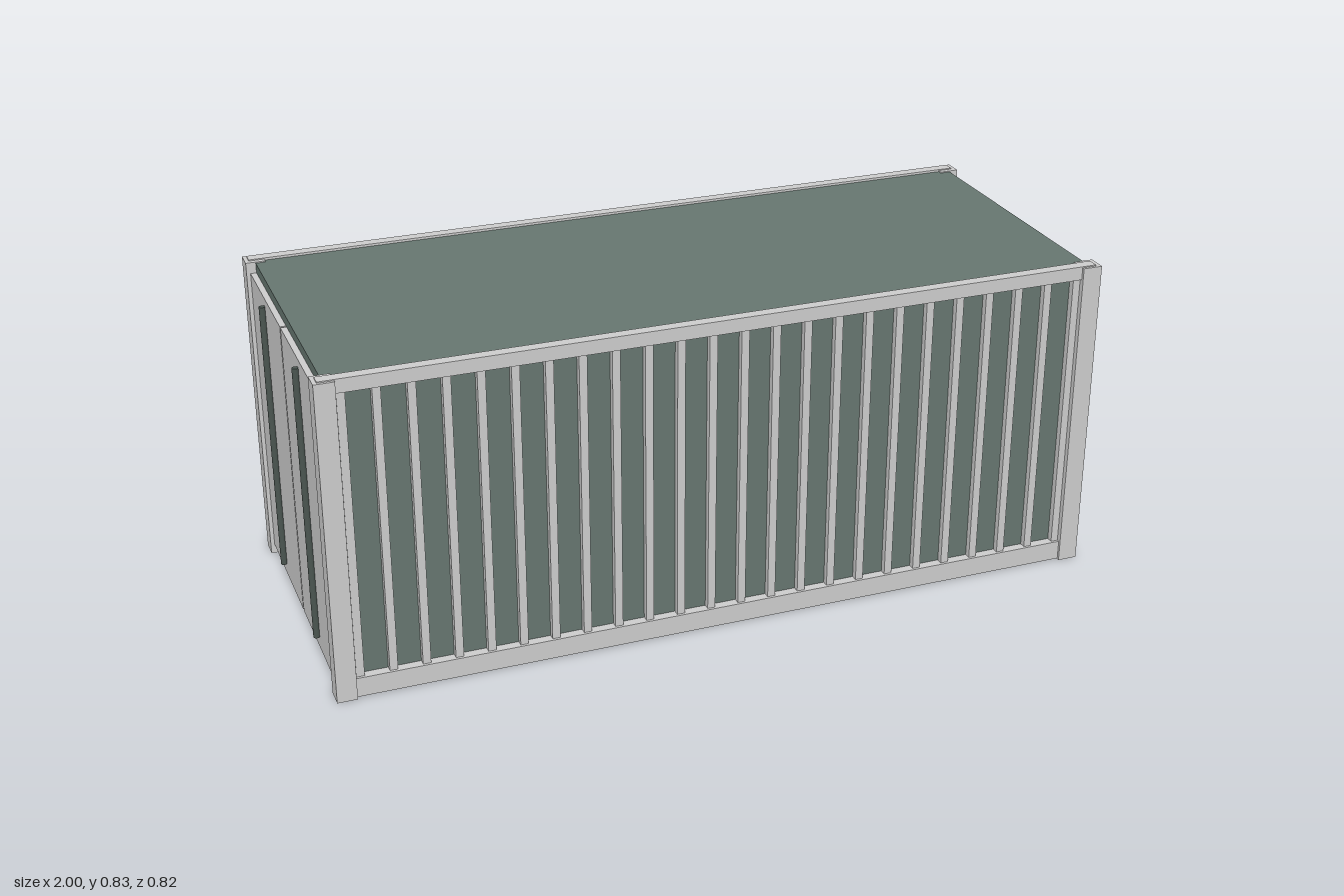
import * as THREE from 'three';

export function createModel() {
  const root = new THREE.Group();
  root.name = 'shippingContainer';
  const grey = new THREE.MeshStandardMaterial({ color: 0xcccccc });
  const green = new THREE.MeshStandardMaterial({ color: 0x65756f });
  const dark = new THREE.MeshStandardMaterial({ color: 0x4a5550 });

  // Box given by its extents along each axis
  function box(name, mat, [x0, x1], [y0, y1], [z0, z1], parent = root) {
    const mesh = new THREE.Mesh(new THREE.BoxGeometry(x1 - x0, y1 - y0, z1 - z0), mat);
    mesh.position.set((x0 + x1) / 2, (y0 + y1) / 2, (z0 + z1) / 2);
    mesh.name = name;
    parent.add(mesh);
    return mesh;
  }

  // Closed cargo body
  box('body', green, [-0.97, 0.975], [0.005, 0.826], [-0.381, 0.381]);

  for (const s of [1, -1]) {
    const side = new THREE.Group();
    side.name = s > 0 ? 'frontSide' : 'backSide';
    root.add(side);
    const depth = (a, b) => (s > 0 ? [a, b] : [-b, -a]);

    // Corner posts
    box('cornerPost', grey, [-0.995, -0.945], [0, 0.829], depth(0.363, 0.412), side);
    box('cornerPost', grey, [0.947, 0.998], [0, 0.829], depth(0.363, 0.412), side);

    // Long rails
    box('topRail', grey, [-0.985, 0.985], [0.797, 0.832], depth(0.376, 0.405), side);
    box('bottomRail', grey, [-0.985, 0.985], [0.002, 0.053], depth(0.376, 0.405), side);

    // Vertical wall ribs
    for (let i = 0; i < 24; i++) {
      const x = -0.932 + i * 0.0813;
      box('wallRib', grey, [x - 0.01, x + 0.01], [0.05, 0.8], depth(0.378, 0.398), side);
    }

    // Door leaf with its locking rod
    box('door', grey, [-0.985, -0.968], [0.025, 0.8], depth(0.003, 0.372), side);
    const rod = new THREE.Mesh(new THREE.CylinderGeometry(0.008, 0.008, 0.72, 12), dark);
    rod.name = 'lockingRod';
    rod.position.set(-0.992, 0.418, s * 0.193);
    side.add(rod);
  }
  return root;
}
